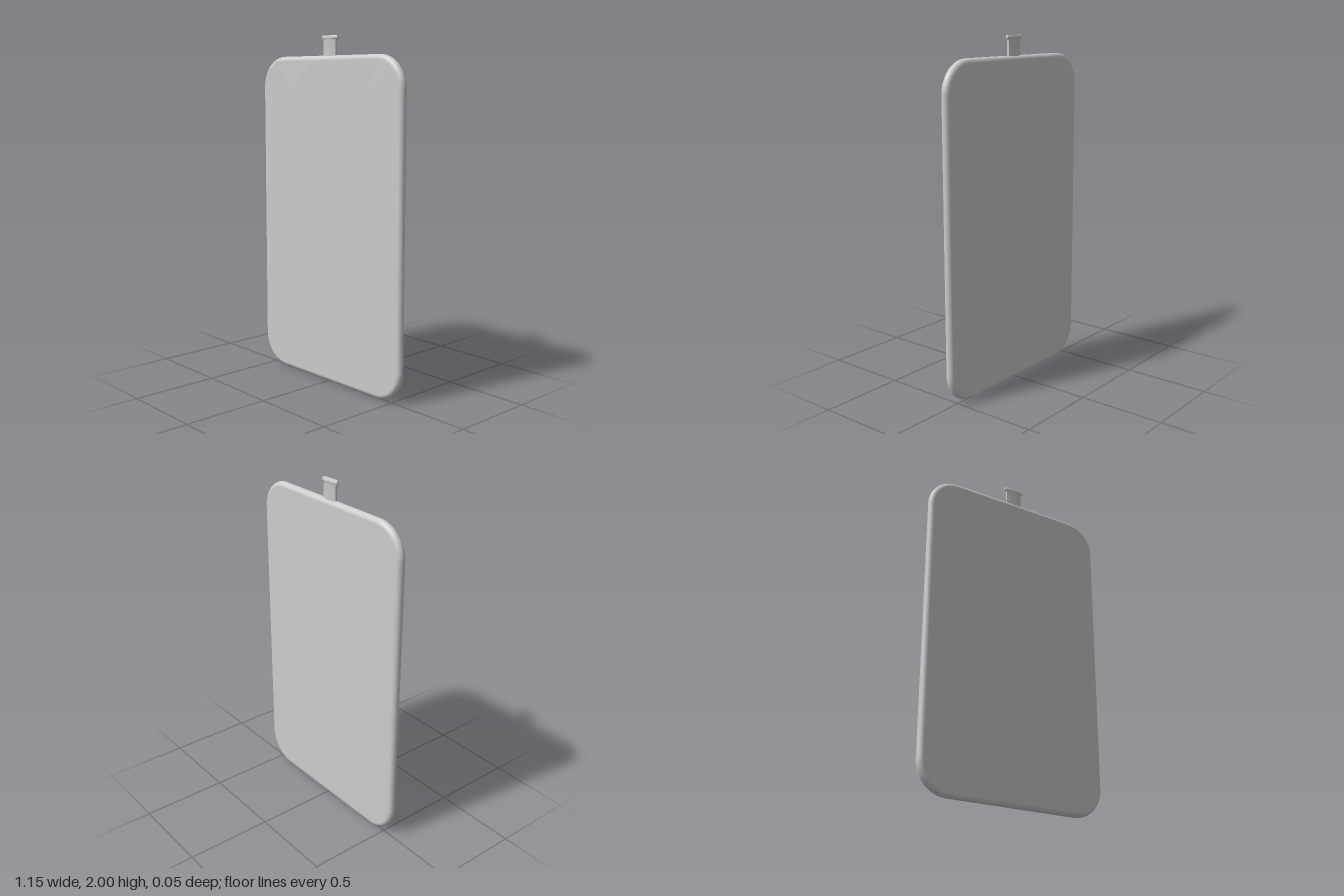
import * as THREE from 'three';
import { toCreasedNormals } from 'three/addons/utils/BufferGeometryUtils.js';

// Joins rings of [x, y] points, each at its own z, into a closed solid.
function loft(rings) {
  const n = rings[0].points.length;
  const pos = [], index = [];
  for (const { points, z } of rings) for (const [x, y] of points) pos.push(x, y, z);
  for (let r = 0; r < rings.length - 1; r++) {
    for (let i = 0; i < n; i++) {
      const a = r * n + i, b = r * n + (i + 1) % n;
      index.push(a, b, b + n, a, b + n, a + n);
    }
  }
  // End caps as fans around a centre point
  const last = (rings.length - 1) * n, c = rings.length * n;
  pos.push(0, 0, rings[0].z, 0, 0, rings[rings.length - 1].z);
  for (let i = 0; i < n; i++) {
    const j = (i + 1) % n;
    index.push(c, j, i, c + 1, last + i, last + j);
  }
  const geo = new THREE.BufferGeometry();
  geo.setAttribute('position', new THREE.Float32BufferAttribute(pos, 3));
  geo.setIndex(index);
  geo.computeVertexNormals();
  return geo;
}

// Rounded rectangle, counter-clockwise, centred on the origin.
function roundedRect(hw, hh, radius, steps) {
  const points = [];
  [[1, 1], [-1, 1], [-1, -1], [1, -1]].forEach(([sx, sy], q) => {
    for (let i = 0; i <= steps; i++) {
      const a = (q + i / steps) * Math.PI / 2;
      points.push([
        sx * (hw - radius) + radius * Math.cos(a),
        sy * (hh - radius) + radius * Math.sin(a),
      ]);
    }
  });
  return points;
}

// Stretched octagon used for the tab.
function octagon(hw, hd) {
  const w = hw - 0.022, d = hd * 0.45;
  return [[hw, -d], [hw, d], [w, hd], [-w, hd], [-hw, d], [-hw, -d], [-w, -hd], [w, -hd]];
}

export function createModel() {
  const model = new THREE.Group();
  const material = new THREE.MeshStandardMaterial({ color: 0xcccccc });
  const add = (name, geometry) => {
    const mesh = new THREE.Mesh(geometry, material);
    mesh.name = name;
    model.add(mesh);
    return mesh;
  };

  // Thin slab with rounded corners and a softly rounded rim
  const halfW = 0.575, halfH = 0.945, halfD = 0.026, corner = 0.18, bevel = 0.028;
  const rings = [];
  const steps = 10;
  for (let i = 0; i <= steps; i++) {
    const a = (i / steps - 0.5) * Math.PI;
    const inset = bevel * (1 - Math.cos(a));
    rings.push({
      points: roundedRect(halfW - inset, halfH - inset, corner - inset, 12),
      z: halfD * Math.sin(a),
    });
  }
  add('slab', loft(rings)).position.y = halfH;

  // Small neck with a flared lip on the top edge
  const profile = [
    [0.05, 0.012, 1.87], [0.05, 0.012, 1.972], [0.054, 0.0125, 1.979],
    [0.061, 0.014, 1.983], [0.061, 0.014, 1.994], [0.058, 0.011, 2],
  ];
  const tab = loft(profile.map(([hw, hd, z]) => ({ points: octagon(hw, hd), z })));
  tab.rotateX(-Math.PI / 2);
  add('tab', toCreasedNormals(tab, 0.5));

  return model;
}
